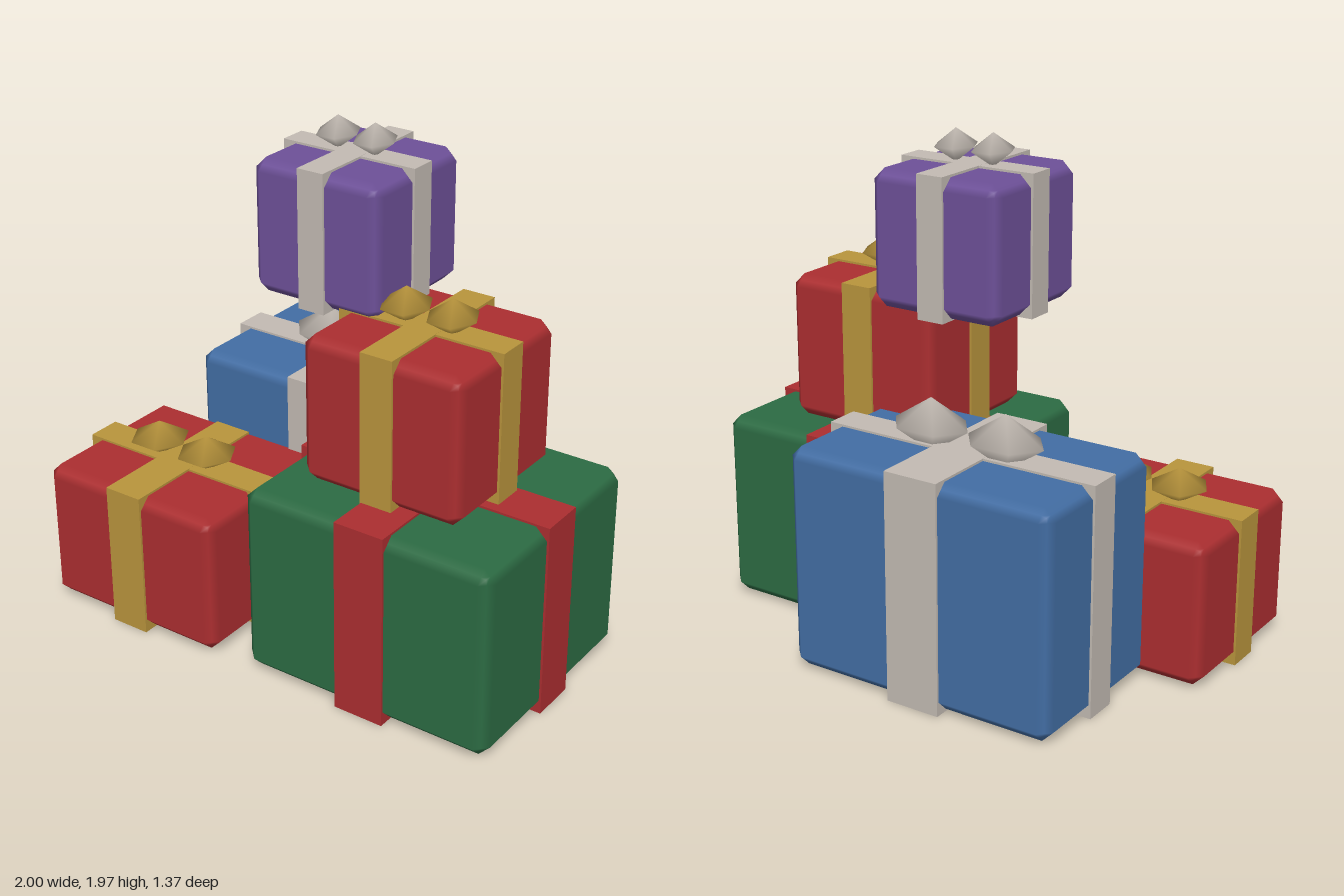
import * as THREE from 'three';
import { RoundedBoxGeometry } from 'three/addons/geometries/RoundedBoxGeometry.js';

const material = (name, color) => {
  const m = new THREE.MeshStandardMaterial({ color });
  m.name = name;
  return m;
};

// Box with flat 45 degree edges and soft normals
function chamferedBox(w, h, d, r) {
  const geo = new RoundedBoxGeometry(w, h, d, 1, r);
  const p = geo.attributes.position, n = geo.attributes.normal;
  const v = new THREE.Vector3(), dir = new THREE.Vector3();
  for (let i = 0; i < p.count; i++) {
    dir.fromBufferAttribute(n, i);
    const sum = Math.abs(dir.x) + Math.abs(dir.y) + Math.abs(dir.z);
    v.fromBufferAttribute(p, i).addScaledVector(dir, r * (1 / sum - 1));
    p.setXYZ(i, v.x, v.y, v.z);
  }
  return geo;
}

// One wrapped gift; x, y, z are the [min, max] extents of its ribbons
function makeGift({ name, x, y, z, paper, ribbon, bow }) {
  const gift = new THREE.Group();
  gift.name = name;
  const w = x[1] - x[0], h = y[1] - y[0], d = z[1] - z[0];
  gift.position.set((x[0] + x[1]) / 2, (y[0] + y[1]) / 2, (z[0] + z[1]) / 2);
  const add = (part, geo, mat) => {
    const mesh = new THREE.Mesh(geo, mat);
    mesh.name = part;
    gift.add(mesh);
    return mesh;
  };

  add('wrappedBox', chamferedBox(w - 0.018, h - 0.018, d - 0.018, 0.045), paper);

  // Two crossing bands
  add('ribbonFrontToBack', new THREE.BoxGeometry(w * 0.193, h, d), ribbon);
  add('ribbonSideToSide', new THREE.BoxGeometry(w, h - 0.001, d * 0.19), ribbon);

  // Two six-sided bow loops, sunk into the ribbon
  if (bow) {
    for (const side of [-1, 1]) {
      const loop = add(side < 0 ? 'bowLoopRight' : 'bowLoopLeft', new THREE.SphereGeometry(1, 6, 2), ribbon);
      loop.scale.set(w * 0.14, h * 0.118, d * 0.167);
      loop.position.set(side * w * 0.141, h / 2 + 0.052, 0);
    }
  }
  return gift;
}

export function createModel() {
  const red = material('red', 0xab2e30);
  const green = material('green', 0x2c6b43);
  const blue = material('blue', 0x426da3);
  const purple = material('purple', 0x6d5098);
  const gold = material('gold', 0xb8943c);
  const silver = material('silver', 0xc2bab2);

  const gifts = [
    { name: 'largeGreenGift', x: [-0.06, 1.0], y: [0, 0.772], z: [-0.31, 0.655], paper: green, ribbon: red, bow: false },
    { name: 'stackedRedGift', x: [0.085, 0.77], y: [0.765, 1.355], z: [-0.17, 0.49], paper: red, ribbon: gold, bow: true },
    { name: 'lowRedGift', x: [-1.0, -0.17], y: [0, 0.588], z: [-0.03, 0.685], paper: red, ribbon: gold, bow: true },
    { name: 'blueGift', x: [-0.76, 0.38], y: [0, 0.892], z: [-0.688, 0.03], paper: blue, ribbon: silver, bow: true },
    { name: 'topPurpleGift', x: [-0.298, 0.272], y: [1.323, 1.855], z: [-0.31, 0.258], paper: purple, ribbon: silver, bow: true },
  ];

  const model = new THREE.Group();
  model.name = 'giftPile';
  for (const g of gifts) model.add(makeGift(g));
  return model;
}
